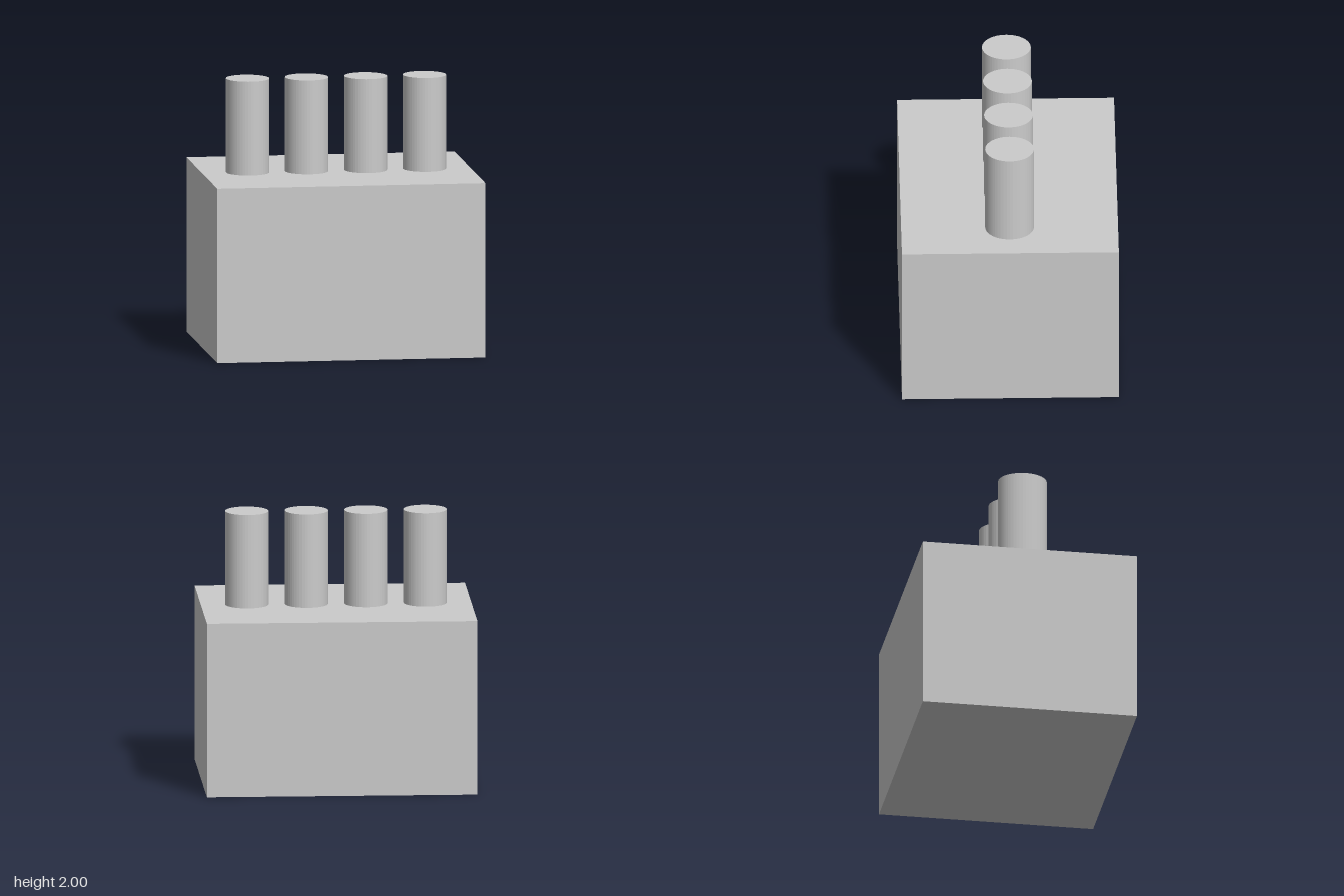
import * as THREE from 'three';

export function createModel() {
  const group = new THREE.Group();
  const material = new THREE.MeshStandardMaterial({ color: 0xcccccc, flatShading: true });

  // Solid block base
  const bodyHeight = 1.3;
  const body = new THREE.Mesh(new THREE.BoxGeometry(2, bodyHeight, 1.6), material);
  body.name = 'body';
  body.position.y = bodyHeight / 2;
  group.add(body);

  // Row of four slightly oval posts standing on the block
  const postHeight = 0.7;
  const postGeometry = new THREE.CylinderGeometry(1, 1, postHeight, 48).scale(0.16, 1, 0.18);
  for (let i = 0; i < 4; i++) {
    const post = new THREE.Mesh(postGeometry, material);
    post.name = `post${i + 1}`;
    post.position.set((i - 1.5) * 0.44, bodyHeight + postHeight / 2, 0);
    group.add(post);
  }

  return group;
}
